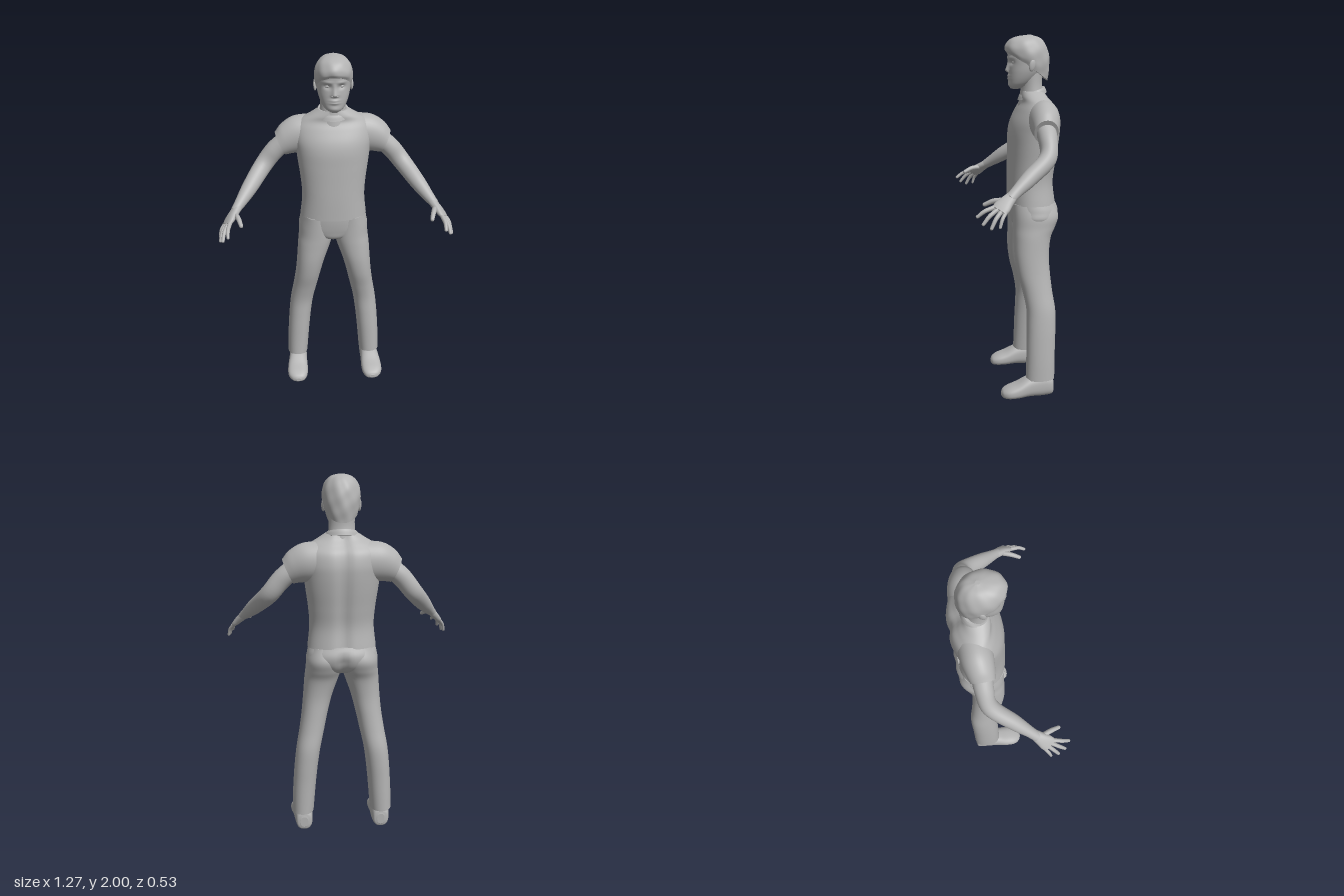
import * as THREE from 'three';

const V = (x, y, z) => new THREE.Vector3(x, y, z);
const grey = new THREE.MeshStandardMaterial({ color: 0xb4b4b4 });
grey.name = 'grey';

// Smooth skin through rings {c, u, v}; p is the superellipse power, side = -1 mirrors it.
function loft(name, rings, { seg = 40, sub = 6, p = 2, side = 1, deform } = {}) {
  const curves = ['c', 'u', 'v'].map(k => new THREE.CatmullRomCurve3(rings.map(r => r[k]), false, 'catmullrom', 0.5));
  const steps = (rings.length - 1) * sub, pos = [], idx = [];
  const power = n => Math.sign(n) * Math.pow(Math.abs(n), 2 / p);
  for (let i = 0; i <= steps; i++) {
    const [c, u, v] = curves.map(k => k.getPoint(i / steps));
    for (let j = 0; j < seg; j++) {
      const a = (j / seg) * Math.PI * 2;
      const q = c.clone().addScaledVector(u, power(Math.cos(a))).addScaledVector(v, power(Math.sin(a)));
      if (deform) deform(q, a);
      pos.push(q.x * side, q.y, q.z);
    }
  }
  const face = (a, b, c) => (side > 0 ? idx.push(a, b, c) : idx.push(a, c, b));
  for (let i = 0; i < steps; i++) for (let j = 0; j < seg; j++) {
    const a = i * seg + j, b = i * seg + ((j + 1) % seg);
    face(a, b, b + seg);
    face(a, b + seg, a + seg);
  }
  // End caps with their own corners, so the rims stay sharp
  for (const [row, last] of [[0, false], [steps, true]]) {
    const start = pos.length / 3, mid = [0, 0, 0];
    for (let j = 0; j < seg; j++) for (let k = 0; k < 3; k++) {
      const n = pos[(row * seg + j) * 3 + k];
      pos.push(n);
      mid[k] += n / seg;
    }
    pos.push(...mid);
    for (let j = 0; j < seg; j++) {
      const a = start + j, b = start + ((j + 1) % seg);
      last ? face(a, b, start + seg) : face(b, a, start + seg);
    }
  }
  const g = new THREE.BufferGeometry();
  g.setAttribute('position', new THREE.Float32BufferAttribute(pos, 3));
  g.setIndex(idx);
  g.computeVertexNormals();
  const mesh = new THREE.Mesh(g, grey);
  mesh.name = name;
  return mesh;
}

// Level ring from its extents; rows run upward
const level = ([y, x0, x1, z0, z1]) => ({ c: V((x0 + x1) / 2, y, (z0 + z1) / 2), u: V(0, 0, (z1 - z0) / 2), v: V((x1 - x0) / 2, 0, 0) });
const centred = ([y, w, z0, z1]) => level([y, -w, w, z0, z1]);

// Rings square to a path of [x, y, z, radius along hint, radius across]
function limb(points, hint) {
  const at = points.map(p => V(p[0], p[1], p[2]));
  return at.map((c, i) => {
    const t = at[Math.min(i + 1, at.length - 1)].clone().sub(at[Math.max(i - 1, 0)]).normalize();
    const u = hint.clone().addScaledVector(t, -hint.dot(t)).normalize();
    const v = t.clone().cross(u);
    return { c, u: u.multiplyScalar(points[i][3]), v: v.multiplyScalar(points[i][4] ?? points[i][3]) };
  });
}

const bump = (d, w) => Math.exp(-(d * d) / (w * w));

function ellipsoid(name, x, y, z, rx, ry, rz) {
  const m = new THREE.Mesh(new THREE.SphereGeometry(1, 20, 14).scale(rx, ry, rz), grey);
  m.position.set(x, y, z);
  m.name = name;
  return m;
}

function makeHead() {
  const head = new THREE.Group();
  head.name = 'head';
  head.add(loft('neck', [
    [1.62, 0.085, -0.19, -0.04], [1.68, 0.074, -0.18, -0.05],
    [1.74, 0.069, -0.17, -0.055], [1.82, 0.07, -0.175, -0.05]].map(centred)));
  // Face with eye sockets, nose and lips raised from the surface
  head.add(loft('face', [
    [1.712, 0.022, -0.05, 0.0], [1.73, 0.05, -0.09, 0.011], [1.76, 0.069, -0.13, 0.014],
    [1.8, 0.083, -0.165, 0.014], [1.84, 0.089, -0.185, 0.013], [1.88, 0.091, -0.195, 0.018],
    [1.92, 0.088, -0.195, 0.015], [1.955, 0.07, -0.17, -0.02], [1.975, 0.035, -0.13, -0.06]].map(centred), {
    seg: 112, sub: 9, p: 2.15,
    deform(q) {
      if (q.z < -0.08) return;
      const x = Math.abs(q.x), ridge = THREE.MathUtils.clamp((1.872 - q.y) / 0.06, 0, 1);
      const tip = THREE.MathUtils.clamp((q.y - 1.797) / 0.012, 0, 1);
      q.z += 0.019 * ridge * tip * bump(q.x, 0.009 + 0.007 * ridge);
      q.z -= 0.011 * bump(x - 0.036, 0.019) * bump(q.y - 1.853, 0.013);
      q.z += 0.004 * bump(x - 0.036, 0.024) * bump(q.y - 1.877, 0.008);
      q.z += 0.007 * bump(q.x, 0.024) * (bump(q.y - 1.781, 0.006) + bump(q.y - 1.767, 0.006));
      q.z += 0.004 * bump(q.x, 0.025) * bump(q.y - 1.735, 0.012);
    } }));
  // Cap of short hair, low at the nape and high over the brow
  head.add(loft('hair', [
    [1.83, -0.088, 0.09, 0.075, 0.113], [1.865, -0.088, 0.1, 0.055, 0.121], [1.91, -0.09, 0.1, 0.035, 0.119],
    [1.955, -0.095, 0.084, 0.02, 0.1], [1.985, -0.1, 0.054, 0.006, 0.064], [1.998, -0.1, 0.01, 0, 0.012],
  ].map(([y, z, w, rise, d]) => ({ c: V(0, y, z), u: V(0, rise, d), v: V(w, 0, 0) })), {
    seg: 72,
    deform(q, a) {
      const r = 1 + 0.012 * Math.sin(a * 9 + q.y * 40) + 0.008 * Math.sin(a * 5 - q.y * 70);
      q.x *= r;
      q.z = -0.09 + (q.z + 0.09) * r;
    } }));
  for (const s of [-1, 1]) {
    head.add(ellipsoid('eye', s * 0.036, 1.853, -0.009, 0.015, 0.008, 0.011));
    const ear = ellipsoid('ear', s * 0.096, 1.838, -0.1, 0.009, 0.033, 0.018);
    ear.rotation.set(-0.2, s * 0.25, 0);
    head.add(ear);
    head.add(ellipsoid('nostril', s * 0.012, 1.806, 0.015, 0.008, 0.006, 0.009));
  }
  return head;
}

function makeArm(side) {
  const arm = new THREE.Group();
  arm.name = side > 0 ? 'leftArm' : 'rightArm';
  arm.add(loft('sleeve', [
    [0.1, 1.55, -0.15, 0, 0.11, 0.09], [0.19, 1.547, -0.15, 0.02, 0.103, 0.084],
    [0.25, 1.526, -0.145, 0.03, 0.084, 0.074], [0.288, 1.5, -0.14, 0.029, 0.064, 0.064],
  ].map(([x, y, z, ux, uy, w]) => ({ c: V(x, y, z), u: V(ux, uy, 0), v: V(0, 0, w) })), { side }));
  arm.add(loft('bareArm', limb([
    [0.24, 1.525, -0.14, 0.055], [0.32, 1.46, -0.142, 0.053, 0.05], [0.39, 1.375, -0.125, 0.05, 0.046],
    [0.465, 1.292, -0.02, 0.043, 0.041], [0.515, 1.238, 0.052, 0.031, 0.03], [0.545, 1.208, 0.092, 0.023, 0.027],
  ], V(0.6, 0.8, 0)), { side, seg: 32 }));

  // Hand: palm, four fingers and a thumb
  const across = V(-0.45, 0.35, 0.8).normalize(), knuckle = V(0.585, 1.162, 0.148);
  arm.add(loft('palm', limb([
    [0.53, 1.22, 0.075, 0.027, 0.022], [0.556, 1.194, 0.11, 0.036, 0.021],
    [0.574, 1.174, 0.134, 0.043, 0.018], [0.588, 1.159, 0.152, 0.041, 0.013]], across), { side, p: 2.4, seg: 28 }));
  const tips = [[0.578, 1.127, 0.262], [0.61, 1.094, 0.236], [0.627, 1.075, 0.197], [0.631, 1.08, 0.154]];
  const finger = (name, a, m, b, r) => loft(name, limb([
    [a.x, a.y, a.z, r], [m.x, m.y, m.z, r * 0.92],
    ...[[0.8, 0.75], [0.95, 0.55], [1, 0.15]].map(([t, k]) => [...m.clone().lerp(b, t).toArray(), r * k])],
  across), { side, seg: 14, sub: 4 });
  tips.forEach((t, i) => {
    const a = knuckle.clone().addScaledVector(across, 0.032 - i * 0.0215), b = V(...t);
    const m = a.clone().lerp(b, 0.5).add(V(0.005, 0.007, 0.003));
    arm.add(finger('finger', a, m, b, i === 3 ? 0.01 : 0.0115));
  });
  arm.add(finger('thumb', V(0.546, 1.2, 0.105), V(0.524, 1.197, 0.165), V(0.506, 1.173, 0.221), 0.0145));
  return arm;
}

function makeLeg(side) {
  const leg = new THREE.Group();
  leg.name = side > 0 ? 'leftLeg' : 'rightLeg';
  leg.add(loft('trouserLeg', [
    [0.105, 0.165, 0.287, -0.212, -0.05], [0.2, 0.157, 0.284, -0.214, -0.053], [0.3, 0.148, 0.278, -0.216, -0.055],
    [0.4, 0.137, 0.27, -0.22, -0.058], [0.5, 0.122, 0.258, -0.22, -0.058], [0.6, 0.1, 0.24, -0.206, -0.04],
    [0.7, 0.078, 0.225, -0.196, -0.014], [0.8, 0.052, 0.215, -0.192, 0], [0.9, 0.018, 0.207, -0.205, 0.002],
    [0.96, 0.002, 0.2, -0.232, 0.002], [1.02, 0, 0.195, -0.25, 0.003], [1.09, 0.02, 0.175, -0.225, 0.005],
  ].map(level), { side, p: 2.15 }));
  // Shoe sections from heel to toe: z, centre x, half width, bottom, top
  leg.add(loft('shoe', [
    [-0.207, 0.222, 0.022, 0.025, 0.085], [-0.195, 0.222, 0.044, 0.006, 0.115], [-0.14, 0.223, 0.052, 0, 0.13],
    [-0.07, 0.227, 0.056, 0.003, 0.12], [0, 0.231, 0.062, 0, 0.085], [0.05, 0.232, 0.058, 0, 0.066],
    [0.08, 0.23, 0.04, 0.004, 0.05], [0.092, 0.229, 0.015, 0.014, 0.034],
  ].map(([z, x, w, b, t]) => ({ c: V(x, (b + t) / 2, z), u: V(w, 0, 0), v: V(0, (t - b) / 2, 0) })), { side, p: 2.5 }));
  return leg;
}

export function createModel() {
  const man = new THREE.Group();
  man.name = 'standingMan';
  man.add(makeHead());
  // Shirt body with a shallow groove down the spine
  man.add(loft('shirt', [
    [1.085, 0.188, -0.245, 0.022], [1.2, 0.176, -0.232, 0.022], [1.3, 0.182, -0.243, 0.02],
    [1.4, 0.195, -0.258, 0.018], [1.48, 0.205, -0.267, 0.015], [1.54, 0.214, -0.267, 0.001],
    [1.6, 0.21, -0.252, -0.028], [1.64, 0.18, -0.222, -0.05], [1.67, 0.13, -0.198, -0.05],
    [1.7, 0.082, -0.184, -0.055]].map(centred), {
    seg: 72, p: 2.2,
    deform(q) { if (q.z < -0.15) q.z += 0.016 * bump(q.x, 0.035); } }));
  man.add(loft('collar', [[1.672, 0.094, 0.08], [1.69, 0.088, 0.074], [1.702, 0.08, 0.068]].map(([y, w, d]) =>
    ({ c: V(0, y, -0.117), u: V(0, -0.022, d), v: V(w, 0, 0) }))));
  // Seat of the trousers, joining both legs
  man.add(loft('trouserSeat', [
    [0.935, 0.05, -0.18, -0.045], [0.96, 0.12, -0.222, -0.01], [1, 0.193, -0.25, 0.002],
    [1.05, 0.192, -0.26, 0.01], [1.1, 0.18, -0.24, 0.014]].map(centred), {
    seg: 64, p: 2.2,
    deform(q) { if (q.z < -0.15 && q.y < 1.08) q.z += 0.02 * bump(q.x, 0.028) * Math.min(1, (1.08 - q.y) / 0.06); } }));
  for (const side of [-1, 1]) man.add(makeArm(side), makeLeg(side));
  return man;
}
